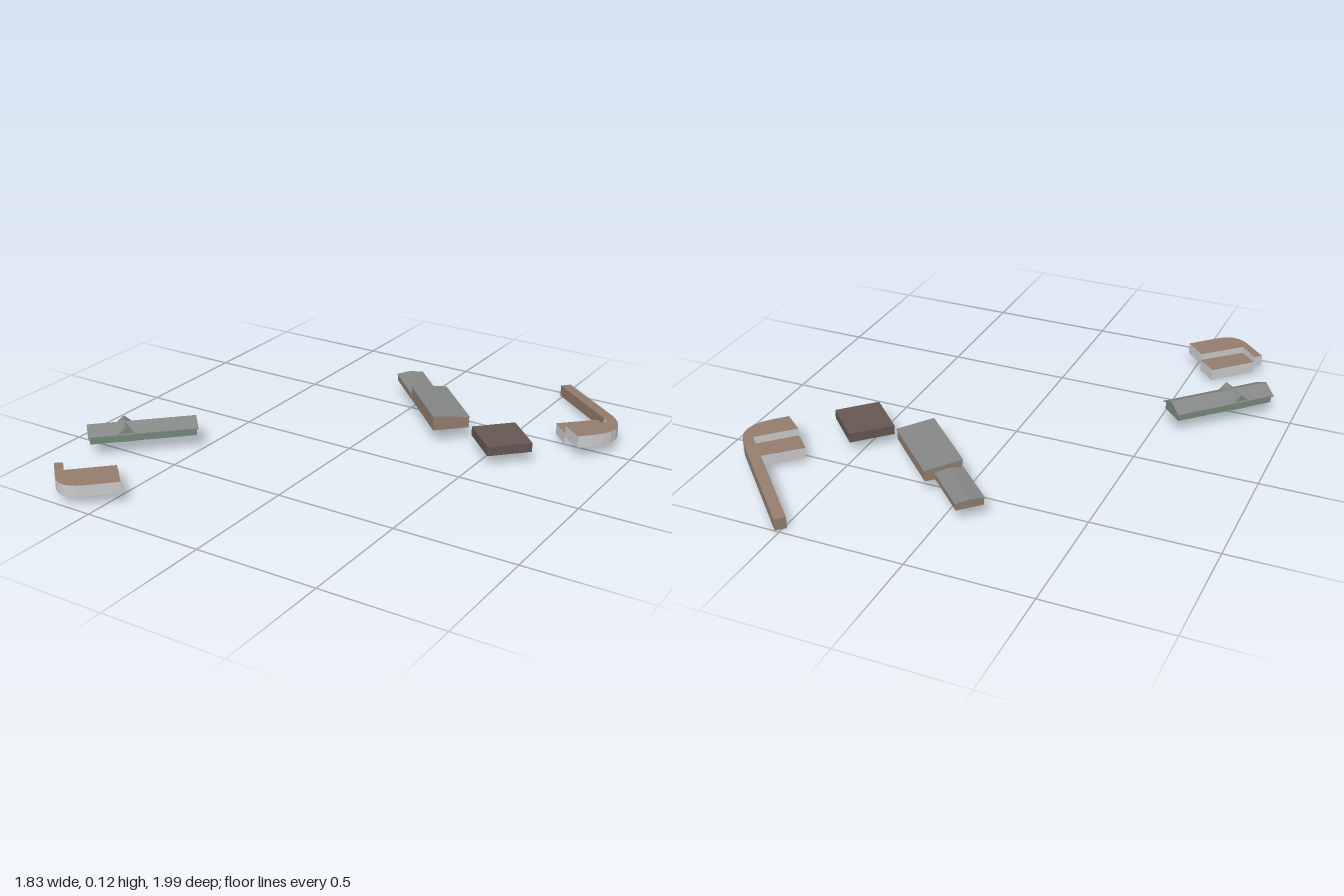
import * as THREE from 'three';

const material = (color) => new THREE.MeshStandardMaterial({ color, flatShading: true, side: THREE.DoubleSide });
const slate = material(0x858786);
const green = material(0x74897b);
const brown = material(0x937d6d);
const darkBrown = material(0x665753);
const plaster = material(0xcccccc);

function add(parent, name, geometry, mat) {
  const mesh = new THREE.Mesh(geometry, mat);
  mesh.name = name;
  parent.add(mesh);
  return mesh;
}

// Every building stands at 45 degrees: local x runs to +x-z, local z to +x+z
function building(parent, name, x, z) {
  const g = new THREE.Group();
  g.name = name;
  g.position.set(x, 0, z);
  g.rotation.y = Math.PI / 4;
  parent.add(g);
  return g;
}

// Profile of [across, height] points, extruded and centred along z, or along x
function prism(profile, length, alongX = false) {
  const shape = new THREE.Shape(profile.map(([a, y]) => new THREE.Vector2(a, y)));
  const geo = new THREE.ExtrudeGeometry(shape, { depth: length, bevelEnabled: false });
  geo.translate(0, 0, -length / 2);
  return alongX ? geo.rotateY(Math.PI / 2) : geo;
}

const gable = (w, base, eave, ridge) => [[-w, base], [w, base], [w, eave], [0, ridge], [-w, eave]];
const chevron = (w, eave, ridge, t) => [[-w, eave - t], [0, ridge - t], [w, eave - t], [w, eave], [0, ridge], [-w, eave]];

// Ground plan in world x, z, raised from y0 to y1
function slab(shape, y0, y1) {
  const geo = new THREE.ExtrudeGeometry(shape, { depth: y1 - y0, bevelEnabled: false, curveSegments: 6 });
  return geo.rotateX(-Math.PI / 2).translate(0, y0, 0);
}

// Plan with one rounded corner between points 1 and 2
function roundedPlan(points, control) {
  const s = new THREE.Shape();
  points.forEach(([x, z], i) => {
    if (i === 0) s.moveTo(x, -z);
    else if (i === 2) s.quadraticCurveTo(control[0], -control[1], x, -z);
    else s.lineTo(x, -z);
  });
  s.closePath();
  return s;
}

function wall(parent, [x0, z0], [x1, z1], y0, y1) {
  const geo = new THREE.PlaneGeometry(Math.hypot(x1 - x0, z1 - z0), y1 - y0);
  geo.rotateY(-Math.atan2(z1 - z0, x1 - x0));
  geo.translate((x0 + x1) / 2, (y0 + y1) / 2, (z0 + z1) / 2);
  add(parent, 'lowerWall', geo, plaster);
}

// Rounded upper storey with a lower, open-backed terrace in its inner corner
function cornerBuilding(parent, name, { plan, control, band, terrace, low }) {
  const g = new THREE.Group();
  g.name = name;
  parent.add(g);
  add(g, 'upperStorey', slab(roundedPlan(plan, control), band[0], band[1]), [brown, plaster]);
  const top = new THREE.Shape(terrace.map(([x, z]) => new THREE.Vector2(x, -z)));
  add(g, 'terraceRoof', slab(top, low[1] - 0.002, low[1]), brown);
  wall(g, terrace[0], terrace[1], ...low);
  wall(g, terrace[0], terrace[3], ...low);
  return g;
}

export function createModel() {
  const model = new THREE.Group();
  model.name = 'buildings';

  // Long house with a pitched roof and a cross gable
  const house = building(model, 'gabledHouse', -0.713, 0.433);
  add(house, 'houseWalls', prism(gable(0.056, 0.056, 0.086, 0.115), 0.425, true), green);
  add(house, 'houseRoof', prism(chevron(0.064, 0.089, 0.12, 0.005), 0.438, true), slate);
  const cross = new THREE.Group();
  cross.name = 'crossGable';
  cross.position.x = -0.067;
  house.add(cross);
  add(cross, 'crossWalls', prism(gable(0.03, 0.056, 0.086, 0.114), 0.118), green);
  add(cross, 'crossRoof', prism(chevron(0.036, 0.088, 0.119, 0.005), 0.126), slate);

  // Hall with a single sloping roof
  const hall = building(model, 'hall', 0.195, -0.395);
  add(hall, 'hallWalls', prism([[-0.075, 0.056], [0.075, 0.056], [0.075, 0.1], [-0.075, 0.115]], 0.334), brown);
  add(hall, 'hallRoof', prism([[-0.078, 0.114], [0.078, 0.099], [0.078, 0.103], [-0.078, 0.119]], 0.338), slate);

  // Lower annex behind the hall
  const annex = building(model, 'annex', -0.02, -0.58);
  add(annex, 'annexWalls', prism(gable(0.055, 0.056, 0.083, 0.09), 0.226), brown);
  add(annex, 'annexRoof', prism(chevron(0.058, 0.086, 0.094, 0.003), 0.23), slate);

  // Flat square block
  const block = building(model, 'squareBlock', 0.542, -0.276);
  add(block, 'blockBody', new THREE.BoxGeometry(0.184, 0.039, 0.207).translate(0, 0.0665, 0), darkBrown);

  // Front corner building with a short wing
  cornerBuilding(model, 'frontCornerBuilding', {
    plan: [[-0.455, 0.865], [-0.55, 0.96], [-0.688, 0.965], [-0.778, 0.875], [-0.752, 0.852], [-0.68, 0.925], [-0.534, 0.786]],
    control: [-0.62, 1.03],
    band: [0.042, 0.088],
    terrace: [[-0.603, 0.717], [-0.534, 0.786], [-0.68, 0.925], [-0.748, 0.862]],
    low: [0.01, 0.06],
  });

  // Rear corner building with a long wing that slopes down
  const rear = cornerBuilding(model, 'rearCornerBuilding', {
    plan: [[0.815, -0.4], [0.86, -0.445], [0.86, -0.657], [0.828, -0.627], [0.857, -0.597], [0.73, -0.47]],
    control: [0.966, -0.551],
    band: [0.047, 0.096],
    terrace: [[0.66, -0.54], [0.73, -0.47], [0.857, -0.597], [0.792, -0.667]],
    low: [0.017, 0.065],
  });
  const wing = building(rear, 'longWing', 0.674, -0.812);
  add(wing, 'wingBody', prism([[-0.241, 0.047], [0.241, 0], [0.241, 0.048], [-0.241, 0.096]], 0.045, true), brown);

  return model;
}
